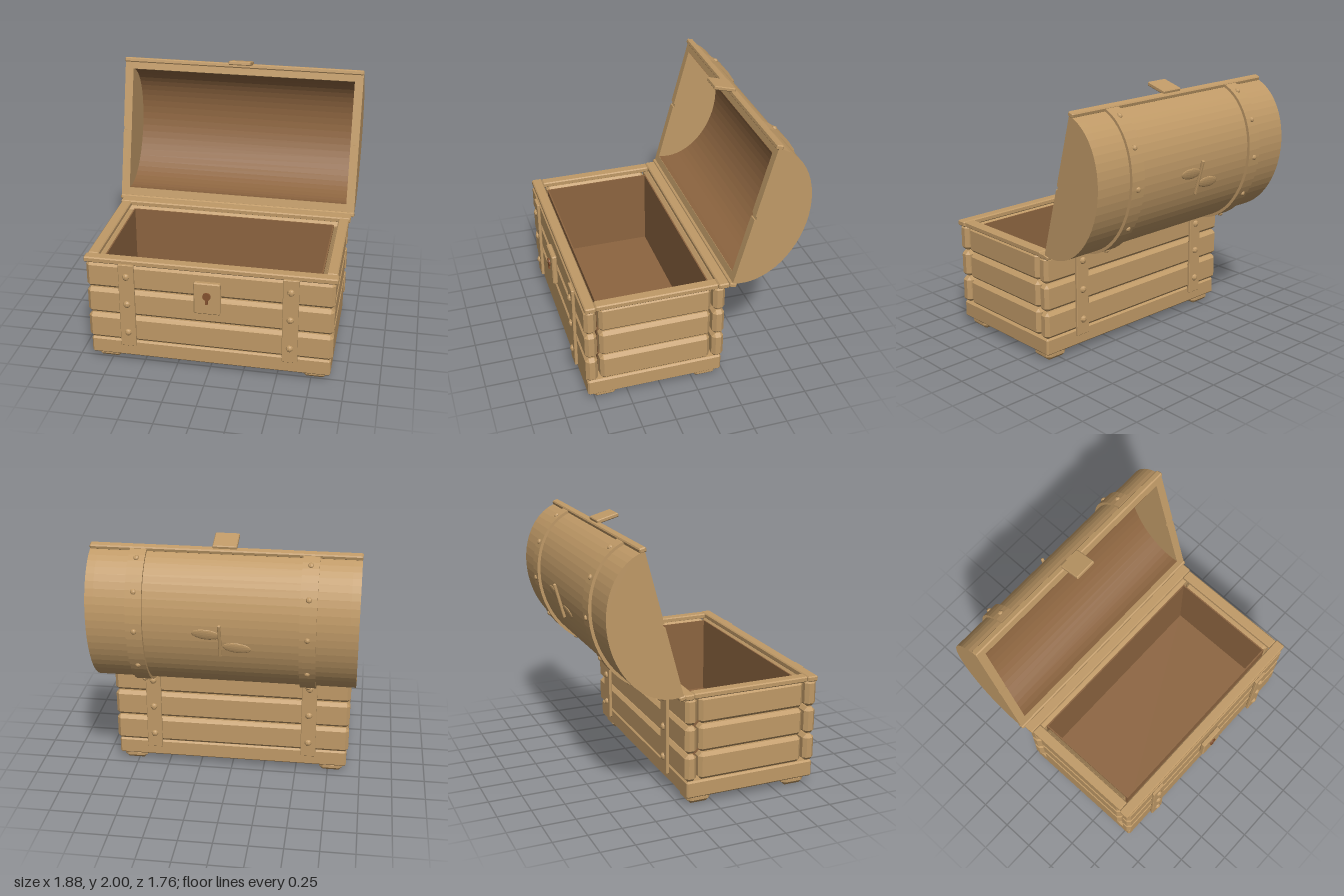
import * as THREE from 'three';
import { ConvexGeometry } from 'three/addons/geometries/ConvexGeometry.js';

function material(name, color, side = THREE.FrontSide) {
  const m = new THREE.MeshStandardMaterial({ color, side, flatShading: true });
  m.name = name;
  return m;
}

// Box with every edge chamfered by c
function chamferBox(w, h, d, c) {
  const pts = [];
  for (const x of [-1, 1]) for (const y of [-1, 1]) for (const z of [-1, 1]) {
    const X = w / 2, Y = h / 2, Z = d / 2;
    pts.push(new THREE.Vector3(x * X, y * (Y - c), z * (Z - c)),
      new THREE.Vector3(x * (X - c), y * Y, z * (Z - c)),
      new THREE.Vector3(x * (X - c), y * (Y - c), z * Z));
  }
  return new ConvexGeometry(pts);
}

// Half ellipse outline: a along the lid opening, b the depth of the dome
function arc(a, b, n = 28) {
  return Array.from({ length: n + 1 }, (_, i) => {
    const t = -Math.PI / 2 + Math.PI * i / n;
    return new THREE.Vector2(b * Math.cos(t), a * Math.sin(t));
  });
}

// Extrude a dome outline along x, centred, with its depth towards -z
function extrudeX(points, width) {
  const g = new THREE.ExtrudeGeometry(new THREE.Shape(points), { depth: width, bevelEnabled: false });
  return g.translate(0, 0, -width / 2).rotateY(Math.PI / 2);
}

const ring = (a, b, ai, bi, w) => extrudeX([...arc(a, b), ...arc(ai, bi).reverse()], w);

export function createModel() {
  const wood = material('tanWood', 0xc09a67);
  const lining = material('brownLining', 0x8d6540, THREE.DoubleSide);
  const metal = material('reddishBrown', 0x85522f);
  const model = new THREE.Group();
  model.name = 'chest';
  const body = new THREE.Group();
  body.name = 'body';
  const lid = new THREE.Group();
  lid.name = 'lid';
  lid.position.set(0, 1.395, -0.405);
  lid.rotation.x = -0.265;
  model.add(body, lid);

  function add(parent, name, geo, mat, x = 0, y = 0, z = 0) {
    const m = new THREE.Mesh(geo, mat);
    m.name = name;
    m.position.set(x, y, z);
    parent.add(m);
    return m;
  }

  // Base and feet
  add(body, 'base', chamferBox(1.785, 0.13, 1.02, 0.012), wood, 0, 0.127, 0.295);
  for (const x of [-0.775, 0.775]) for (const z of [-0.1, 0.67])
    add(body, 'foot', chamferBox(0.18, 0.08, 0.18, 0.028), wood, x, 0.04, z);

  // Three courses of chamfered planks
  for (const y of [0.298, 0.513, 0.728]) {
    add(body, 'frontPlank', chamferBox(1.81, 0.205, 0.09, 0.025), wood, 0, y, 0.77);
    add(body, 'backPlank', chamferBox(1.81, 0.205, 0.09, 0.025), wood, 0, y, -0.185);
    for (const x of [-0.85, 0.85])
      add(body, 'sidePlank', chamferBox(0.1, 0.205, 0.83, 0.025), wood, x, y, 0.292);
  }

  // Inner lining
  add(body, 'floorLining', new THREE.BoxGeometry(1.6, 0.01, 0.83), lining, 0, 0.196, 0.285);
  for (const x of [-0.795, 0.795])
    add(body, 'sideLining', new THREE.BoxGeometry(0.01, 0.62, 0.83), lining, x, 0.51, 0.285);
  for (const z of [-0.13, 0.7])
    add(body, 'wallLining', new THREE.BoxGeometry(1.6, 0.62, 0.01), lining, 0, 0.51, z);

  // Top rim
  for (const z of [-0.21, 0.77])
    add(body, 'rimRail', chamferBox(1.84, 0.042, 0.08, 0.008), wood, 0, 0.845, z);
  for (const x of [-0.87, 0.87])
    add(body, 'rimSide', chamferBox(0.08, 0.042, 0.9, 0.008), wood, x, 0.845, 0.28);

  // Straps with rivets, and hinges
  const rivet = new THREE.SphereGeometry(0.027, 8, 6).scale(1, 1, 0.75);
  for (const x of [-0.597, 0.597]) {
    add(body, 'frontStrap', chamferBox(0.115, 0.675, 0.024, 0.004), wood, x, 0.508, 0.832);
    add(body, 'backStrap', chamferBox(0.115, 0.65, 0.024, 0.004), wood, x, 0.495, -0.262);
    for (const y of [0.29, 0.525, 0.75]) {
      add(body, 'rivet', rivet, wood, x, y, 0.844);
      add(body, 'rivet', rivet, wood, x, y, -0.274);
    }
    const hinge = add(body, 'hinge', chamferBox(0.17, 0.075, 0.07, 0.02), metal, x, 0.842, -0.28);
    hinge.rotation.x = -0.265;
  }

  // Lock plate and keyhole
  add(body, 'lockPlate', chamferBox(0.195, 0.25, 0.04, 0.008), wood, 0, 0.645, 0.848);
  add(body, 'keyholeDisc', new THREE.CylinderGeometry(0.03, 0.03, 0.014, 12).rotateX(Math.PI / 2),
    metal, 0, 0.67, 0.873);
  add(body, 'keyholeSlot', new THREE.BoxGeometry(0.018, 0.06, 0.014), metal, 0, 0.637, 0.873);

  // Lid dome, its lining and solid ends with a small notch
  const a = 0.538, b = 0.405;
  add(lid, 'dome', ring(a, b, 0.478, 0.36, 1.76), wood);
  const sheet = new THREE.CylinderGeometry(1, 1, 1.75, 28, 1, true, Math.PI / 2, Math.PI)
    .rotateZ(Math.PI / 2).scale(1, 0.475, 0.357);
  add(lid, 'domeLining', sheet, lining);
  const notch = [[0, 0.014], [0.012, 0.014], [0.012, -0.014], [0, -0.014]]
    .map(p => new THREE.Vector2(...p));
  for (const x of [-0.9075, 0.9075])
    add(lid, 'domeEnd', extrudeX([...arc(a, b), ...notch], 0.065), wood, x);

  // Lid rails and latch
  for (const y of [-0.555, 0.548])
    add(lid, 'lidRail', chamferBox(1.885, 0.036, 0.052, 0.008), wood, 0, y, -0.01);
  add(lid, 'latch', chamferBox(0.17, 0.03, 0.17, 0.006), wood, 0, 0.573, 0.072);

  // Raised bands over the dome with rivets
  for (const x of [-0.597, 0.597]) {
    add(lid, 'band', ring(0.558, 0.428, 0.53, 0.395, 0.115), wood, x);
    for (const deg of [-76, -54, -20, 13, 44, 74]) {
      const t = deg * Math.PI / 180;
      const r = add(lid, 'bandRivet', rivet, wood, x, 0.558 * Math.sin(t), -0.428 * Math.cos(t));
      r.scale.setScalar(0.75);
      r.rotation.x = Math.atan2(Math.sin(t) / 0.558, Math.cos(t) / 0.428);
    }
  }

  // Leaf ornament on the back of the dome
  const leaf = new THREE.SphereGeometry(1, 14, 8).scale(0.1, 0.042, 0.009);
  add(lid, 'leaf', leaf, wood, 0.095, 0.14, -0.424).rotation.z = 0.1;
  add(lid, 'leaf', leaf, wood, -0.115, 0.03, -0.418).rotation.z = 0.1;
  add(lid, 'stem', chamferBox(0.022, 0.27, 0.022, 0.005), wood, 0, 0.092, -0.426);

  return model;
}
